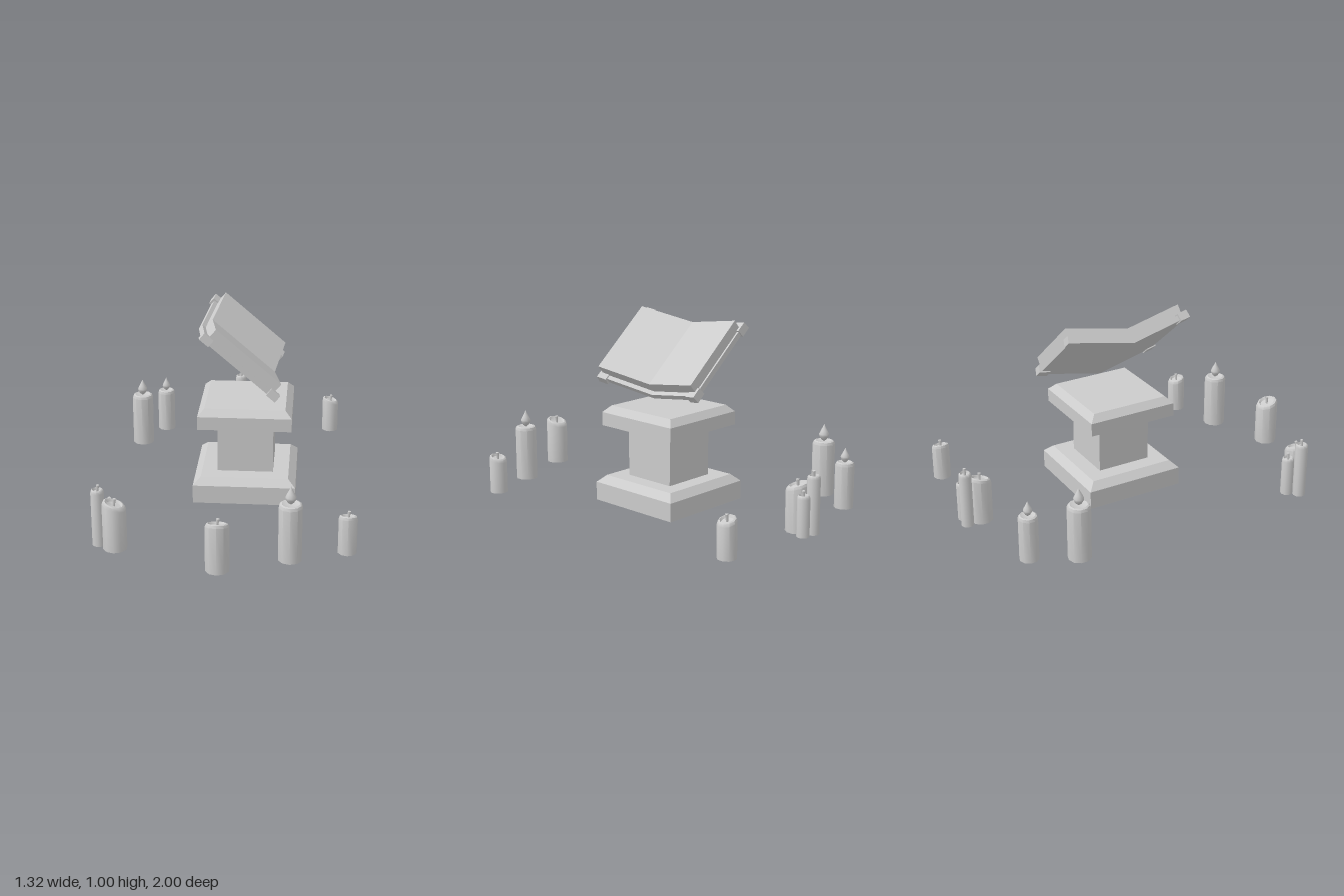
import * as THREE from 'three';
import { toCreasedNormals } from 'three/addons/utils/BufferGeometryUtils.js';

const grey = new THREE.MeshStandardMaterial({ color: 0xcccccc });
const flat = new THREE.MeshStandardMaterial({ color: 0xcccccc, flatShading: true });

function add(parent, name, geometry, material = flat) {
  const mesh = new THREE.Mesh(geometry, material);
  mesh.name = name;
  parent.add(mesh);
  return mesh;
}

// Lathe from [radius, height] pairs, listed bottom to top
function lathe(points, sides, start = 0) {
  return new THREE.LatheGeometry(points.map(([r, y]) => new THREE.Vector2(r, y)), sides, start);
}

// Square block with a bevelled upper edge
function slab(width, bottom, shoulder, top, topWidth) {
  const a = width * Math.SQRT1_2, b = topWidth * Math.SQRT1_2;
  return lathe([[0, bottom], [a, bottom], [a, shoulder], [b, top], [0, top]], 4, Math.PI / 4);
}

function createPedestal() {
  const pedestal = new THREE.Group();
  pedestal.name = 'pedestal';
  pedestal.position.set(0.065, 0, -0.063);
  add(pedestal, 'base', slab(0.55, 0, 0.1, 0.138, 0.47));
  add(pedestal, 'column', new THREE.BoxGeometry(0.3, 0.29, 0.3)).position.y = 0.276;
  add(pedestal, 'cap', slab(0.5, 0.415, 0.487, 0.523, 0.43));
  return pedestal;
}

// V-shaped layer of the open book, extruded along the spine
function wings(halfWidth, bottom, thickness, start, length) {
  const rise = halfWidth * 0.21;
  const shape = new THREE.Shape([
    [0, bottom], [halfWidth, bottom + rise], [halfWidth, bottom + rise + thickness],
    [0, bottom + thickness], [-halfWidth, bottom + rise + thickness], [-halfWidth, bottom + rise],
  ].map(([x, y]) => new THREE.Vector2(x, y)));
  const g = new THREE.ExtrudeGeometry(shape, { depth: length, bevelEnabled: false });
  return g.rotateY(Math.PI / 2).translate(start, 0, 0);
}

function createBook() {
  const book = new THREE.Group();
  book.name = 'openBook';
  book.position.set(-0.195, 0.895, -0.063);
  book.rotation.z = -0.708;
  add(book, 'cover', wings(0.347, 0, 0.03, 0, 0.487));
  add(book, 'pages', wings(0.335, 0.03, 0.058, 0.023, 0.44));
  // Corner guards
  for (const x of [0.019, 0.468]) {
    for (const side of [-1, 1]) {
      const guard = add(book, 'cornerGuard', new THREE.BoxGeometry(0.06, 0.043, 0.06));
      guard.position.set(x, 0.084, side * 0.326);
      guard.rotation.x = -side * 0.207;
    }
  }
  return book;
}

// Candle with a dished top; slope tilts the top, highest toward the angle (0 = +x, 90 = +z)
function createCandle({ x, z, r, h, slope = 0, angle = 0, flame = 0 }) {
  const candle = new THREE.Group();
  candle.name = 'candle';
  candle.position.set(x, 0, z);
  const dish = flame ? 0.004 : 0.012;
  const body = lathe([
    [0, 0], [r, 0], [r, h - 0.018], [r * 0.9, h - 0.004], [r * 0.75, h],
    [r * 0.6, h - dish], [0, h - dish - 0.003],
  ], 10);
  const a = THREE.MathUtils.degToRad(angle);
  const p = body.attributes.position;
  for (let i = 0; i < p.count; i++) {
    if (p.getY(i) < h / 2) continue;
    const reach = (p.getX(i) * Math.cos(a) + p.getZ(i) * Math.sin(a)) / r;
    p.setY(i, p.getY(i) + slope * reach);
  }
  add(candle, 'wax', toCreasedNormals(body, 0.7), grey);
  if (flame) {
    const w = (flame - h) * 0.3;
    const y = (t) => h - 0.006 + (flame - h + 0.006) * t;
    const drop = [[0, y(0)], [w * 0.55, y(0.12)], [w * 0.95, y(0.3)], [w, y(0.42)],
      [w * 0.7, y(0.6)], [w * 0.32, y(0.8)], [0, y(1)]];
    add(candle, 'flame', lathe(drop, 10), grey);
  } else {
    const wick = add(candle, 'wick', new THREE.CylinderGeometry(0.009, 0.006, 0.04, 6), grey);
    wick.position.set(0.002, h + 0.003, 0);
    wick.rotation.z = -0.12;
  }
  return candle;
}

export function createModel() {
  const model = new THREE.Group();
  model.name = 'bookOnPedestalWithCandles';
  model.add(createPedestal(), createBook());

  const candles = [
    // Rear cluster
    { x: -0.01, z: -0.88, r: 0.061, h: 0.248, slope: 0.018, angle: 240 },
    { x: -0.025, z: -0.966, r: 0.034, h: 0.305 },
    { x: 0.042, z: -0.957, r: 0.033, h: 0.215 },
    // Front right cluster
    { x: -0.545, z: 0.75, r: 0.061, h: 0.248, slope: 0.018, angle: 180 },
    { x: -0.632, z: 0.717, r: 0.034, h: 0.305 },
    { x: -0.585, z: 0.668, r: 0.033, h: 0.215 },
    // Burning candles
    { x: -0.475, z: -0.83, r: 0.051, h: 0.25, flame: 0.327 },
    { x: -0.588, z: -0.607, r: 0.061, h: 0.303, flame: 0.394 },
    { x: 0.33, z: 0.805, r: 0.061, h: 0.303, flame: 0.394 },
    // Unlit single candles
    { x: -0.018, z: 0.935, r: 0.061, h: 0.25, slope: 0.018, angle: 90 },
    { x: 0.612, z: 0.71, r: 0.049, h: 0.2, slope: 0.012, angle: 90 },
    { x: 0.527, z: -0.88, r: 0.049, h: 0.197, slope: 0.014, angle: 180 },
  ];
  for (const c of candles) model.add(createCandle(c));
  return model;
}
